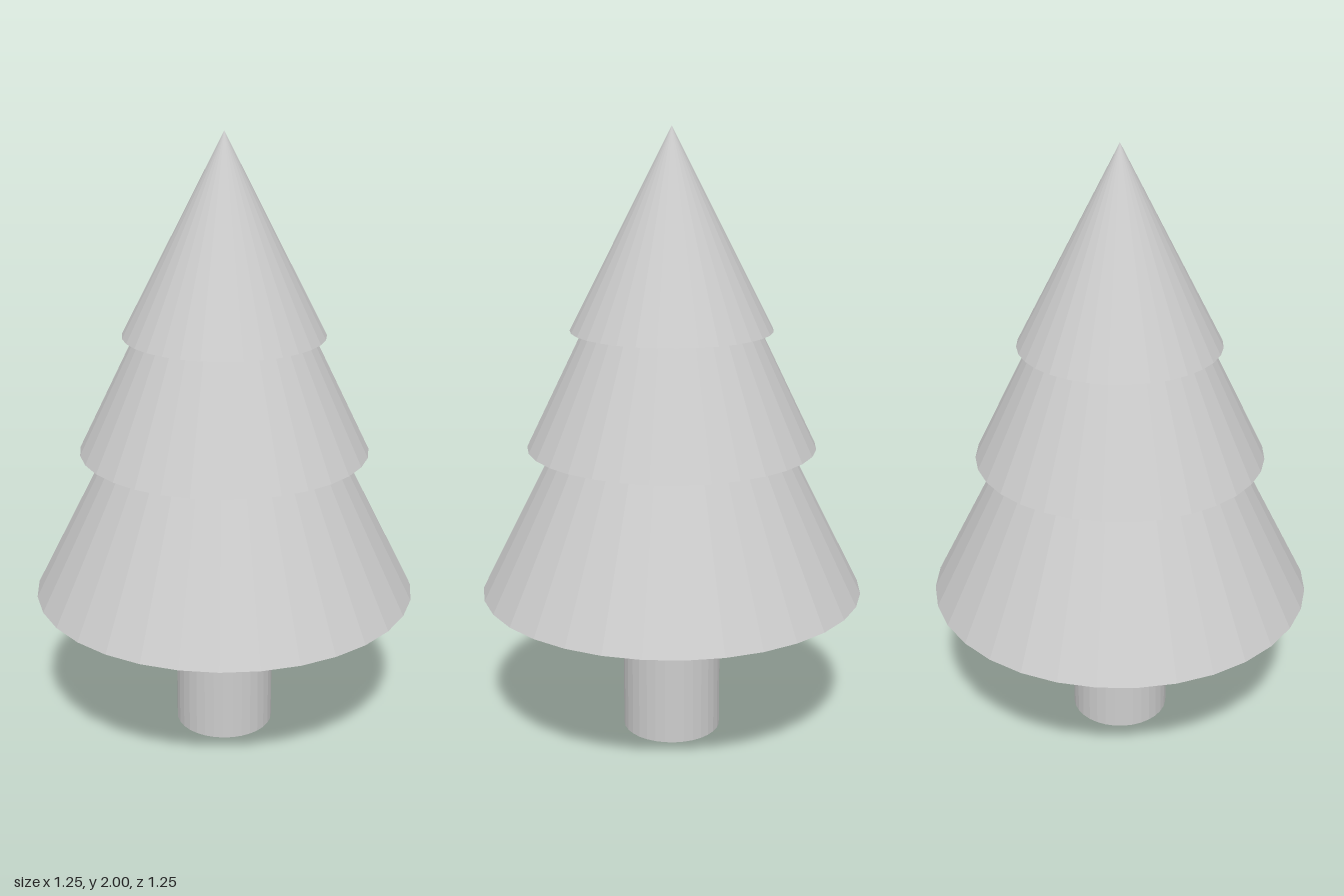
import * as THREE from 'three';

const SIDES = 32;

export function createModel() {
  const tree = new THREE.Group();
  tree.name = 'tree';
  const material = new THREE.MeshStandardMaterial({ color: 0xcccccc, flatShading: true });

  // Adds a part standing on the given height
  const add = (name, geometry, base, height) => {
    const mesh = new THREE.Mesh(geometry, material);
    mesh.name = name;
    mesh.position.y = base + height / 2;
    tree.add(mesh);
  };

  // Trunk
  add('trunk', new THREE.CylinderGeometry(0.163, 0.163, 0.5, SIDES), 0, 0.5);

  // Foliage: three overlapping cones, smaller towards the top
  const tiers = [
    ['lowerFoliage', 0.627, 0.5, 1.24],
    ['middleFoliage', 0.47, 0.985, 0.965],
    ['upperFoliage', 0.326, 1.365, 0.635],
  ];
  for (const [name, radius, base, height] of tiers) {
    add(name, new THREE.ConeGeometry(radius, height, SIDES), base, height);
  }

  return tree;
}
